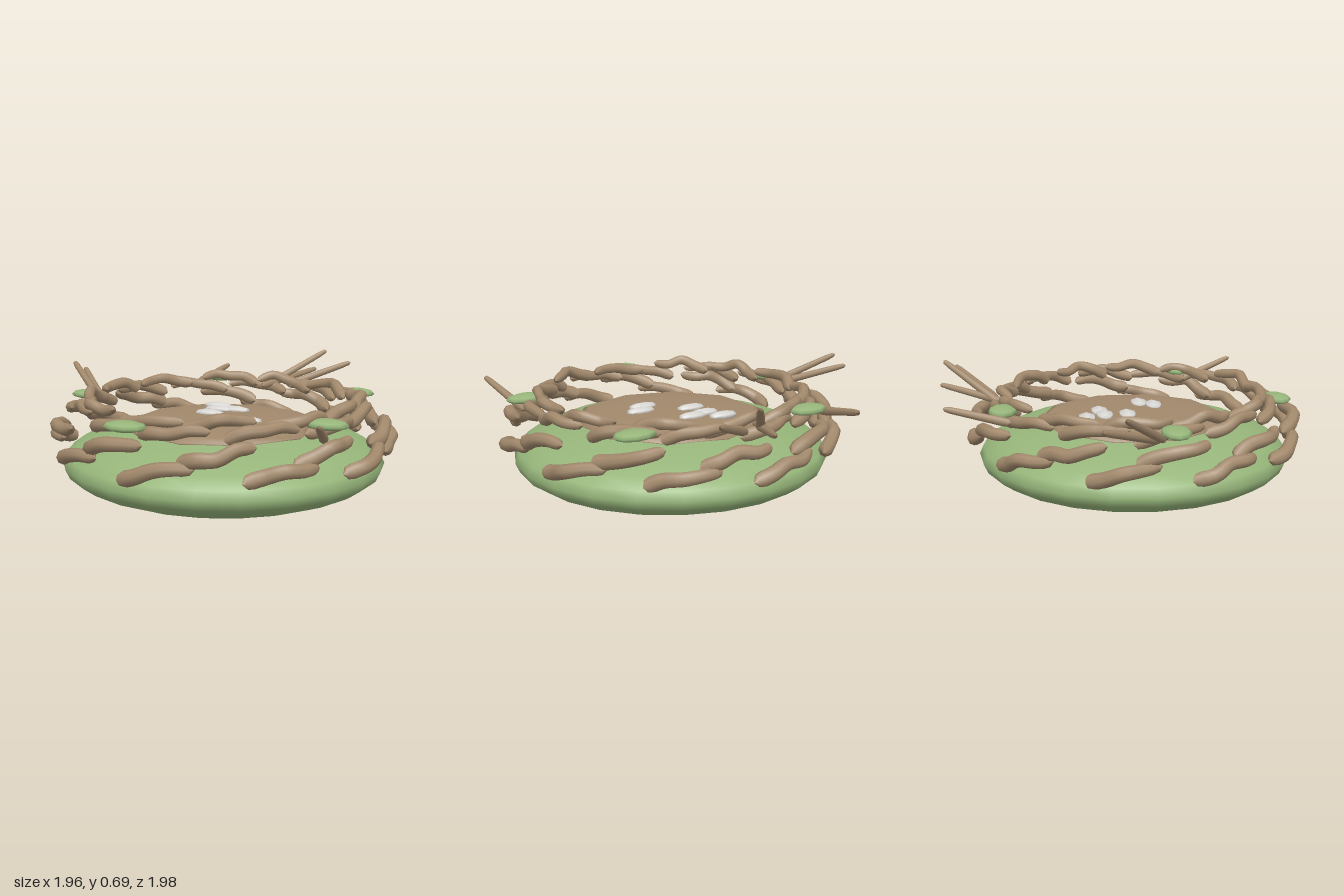
import * as THREE from 'three';

const CX = 0.08, CZ = 0.07; // centre of the nest bowl

const mat = (name, color) => {
  const m = new THREE.MeshStandardMaterial({ color });
  m.name = name;
  return m;
};

// small seeded random in -1..1
function seeded(seed) {
  let s = seed;
  return () => {
    s = (s * 16807) % 2147483647;
    return (s / 2147483647) * 2 - 1;
  };
}

// tapered stick with short rounded ends, swept along points
function stick(points, r0, r1) {
  const curve = new THREE.CatmullRomCurve3(points);
  const segs = 16, sides = 8;
  const geo = new THREE.TubeGeometry(curve, segs, 1, sides);
  const pos = geo.attributes.position;
  const p = new THREE.Vector3(), from = new THREE.Vector3(), to = new THREE.Vector3();
  const tip = (0.5 * r0) / curve.getLength();
  for (let i = 0; i <= segs; i++) {
    const end = i === 0 || i === segs, nearEnd = i === 1 || i === segs - 1;
    const t = i === 1 ? tip : i === segs - 1 ? 1 - tip : i / segs;
    curve.getPointAt(i / segs, from);
    curve.getPointAt(t, to);
    const r = (r0 + (r1 - r0) * t) * (end ? 0.02 : nearEnd ? 0.8 : 1);
    for (let j = 0; j <= sides; j++) {
      const k = i * (sides + 1) + j;
      p.fromBufferAttribute(pos, k).sub(from).multiplyScalar(r).add(to);
      pos.setXYZ(k, p.x, p.y, p.z);
    }
  }
  return geo;
}

export function createModel() {
  const root = new THREE.Group();
  root.name = 'nest';
  const moss = mat('moss green', 0x96b57a);
  const wood = mat('twig brown', 0xa2896c);
  const stone = mat('pale grey', 0xdad8d4);

  const add = (parent, name, geo, material) => {
    const mesh = new THREE.Mesh(geo, material);
    mesh.name = name;
    parent.add(mesh);
    return mesh;
  };
  const group = (name) => {
    const g = new THREE.Group();
    g.name = name;
    root.add(g);
    return g;
  };

  // mossy cushion
  const cushion = add(root, 'mossCushion', new THREE.SphereGeometry(1, 24, 14), moss);
  cushion.scale.set(0.855, 0.214, 0.85);
  cushion.position.set(CX, 0.216, CZ);

  // ten-sided earth floor, nearly flat with a rounded edge
  const profile = [[0.4, 0.36], [0.5, 0.38], [0.525, 0.398], [0.48, 0.417], [0.3, 0.432], [0, 0.438]];
  const floor = add(root, 'earthFloor',
    new THREE.LatheGeometry(profile.map(([x, y]) => new THREE.Vector2(x, y)), 10), wood);
  floor.position.set(CX, 0, CZ);

  // woven rings of crooked twigs, each climbing counterclockwise and bowing outward
  const rings = [
    { name: 'outerTwig', n: 20, r: 0.838, span: 0.43, low: 0.29, high: 0.375, rise: 0.075, arch: 0.015, thick: 0.041, gap: 0.012, seed: 911 },
    { name: 'innerTwig', n: 24, r: 0.7, span: 0.5, low: 0.46, high: 0.5, rise: 0.04, arch: 0.03, thick: 0.035, gap: 0.018, seed: 4273 },
  ];
  for (const ring of rings) {
    const g = group(ring.name + 'Ring');
    const rnd = seeded(ring.seed);
    for (let i = 0; i < ring.n; i++) {
      const upper = i % 2;
      const start = (i / ring.n) * Math.PI * 2 - 0.12 + rnd() * 0.04;
      const pts = [];
      for (let k = 0; k < 5; k++) {
        const t = k / 4, bow = Math.sin(Math.PI * t);
        const a = start + ring.span * t;
        const r = ring.r + 0.035 * bow + (upper ? -ring.gap : ring.gap) + rnd() * 0.016;
        const y = (upper ? ring.high : ring.low) + ring.rise * t + ring.arch * bow + rnd() * 0.016;
        pts.push(new THREE.Vector3(CX + r * Math.sin(a), y, CZ + r * Math.cos(a)));
      }
      add(g, ring.name, stick(pts, ring.thick, ring.thick * 0.72), wood);
    }
  }

  // straight sticks poking out of the rim: base xyz, tip xyz
  const spikes = group('looseSticks');
  [
    [0.04, 0.5, -0.6, 0.26, 0.57, -0.99],
    [0.06, 0.5, -0.66, 0.33, 0.69, -0.97],
    [0.17, 0.5, -0.68, 0.5, 0.63, -0.92],
    [-0.38, 0.5, -0.6, -0.32, 0.57, -0.93],
    [-0.66, 0.47, 0.09, -0.97, 0.6, -0.21],
    [-0.66, 0.47, 0.11, -0.98, 0.65, -0.11],
    [0.76, 0.45, 0.46, 0.84, 0.58, 0.81],
  ].forEach(([ax, ay, az, bx, by, bz]) => {
    const a = new THREE.Vector3(ax, ay, az), b = new THREE.Vector3(bx, by, bz);
    add(spikes, 'looseStick', stick([a, a.clone().lerp(b, 0.5), b], 0.024, 0.016), wood);
  });

  // flat moss tufts on the rim
  const tufts = group('mossTufts');
  [[-0.26, 0.535, -0.64], [0.65, 0.52, -0.48], [-0.7, 0.515, 0.16], [0.76, 0.52, 0.44], [-0.07, 0.515, 0.84]].forEach(([x, y, z]) => {
    const tuft = add(tufts, 'mossTuft', new THREE.SphereGeometry(1, 10, 6), moss);
    tuft.scale.set(0.112, 0.026, 0.074);
    tuft.position.set(x, y, z);
  });

  // pale pebbles half sunk in the floor
  const pebbles = group('pebbles');
  [[-0.07, -0.2], [0.07, -0.12], [-0.02, -0.1], [-0.02, 0.025], [0.24, 0.125], [0.18, 0.2]].forEach(([x, z]) => {
    const pebble = add(pebbles, 'pebble', new THREE.SphereGeometry(1, 6, 5).rotateZ(Math.PI / 2), stone);
    pebble.scale.set(0.085, 0.024, 0.05);
    pebble.position.set(x, 0.436, z);
  });

  return root;
}
